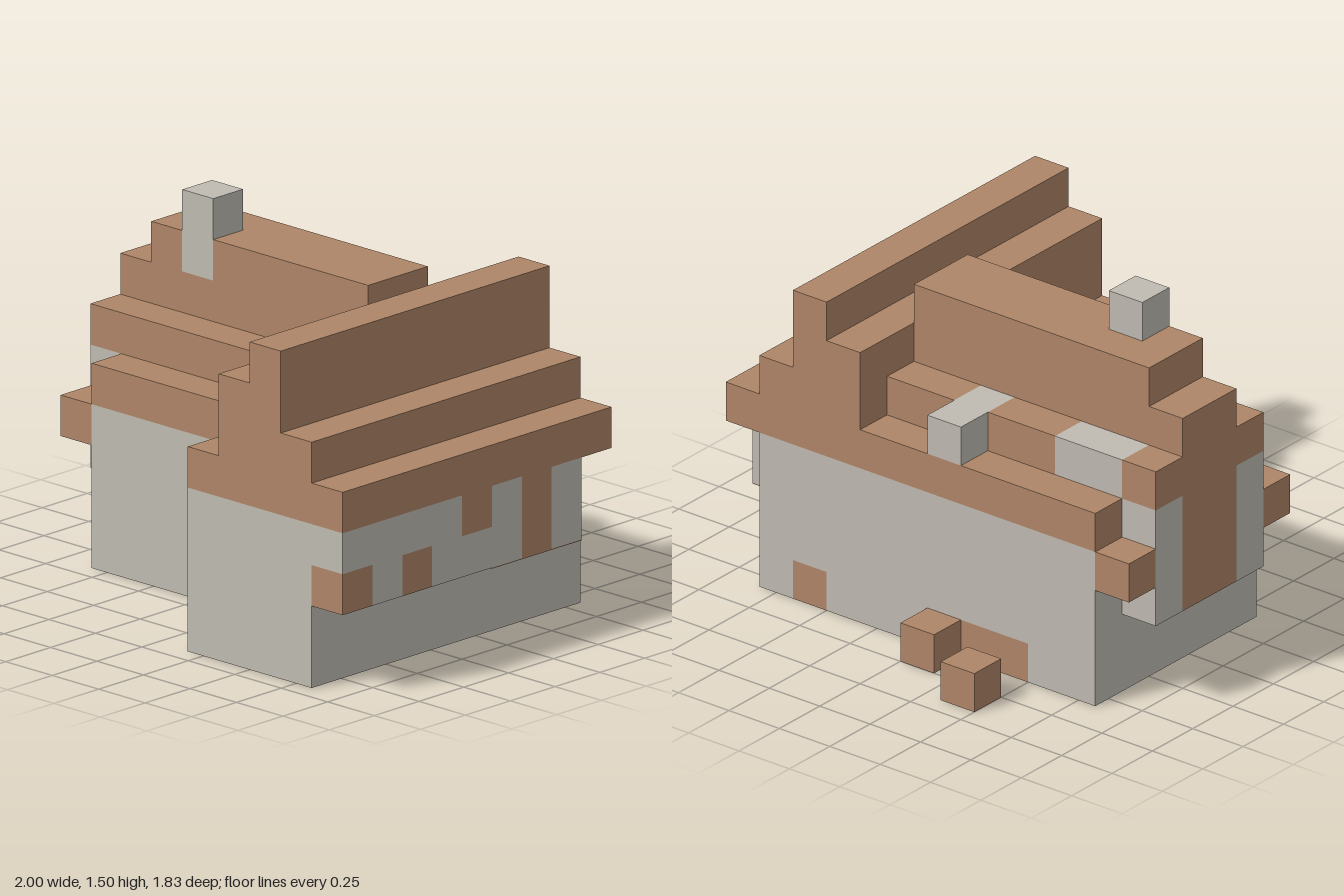
import * as THREE from 'three';

const U = 1 / 6; // edge of one block

// Blocks by grid position; a later part replaces an earlier one where they overlap
function fill(grid, part, x0, x1, y0, y1, z0, z1) {
  for (let x = x0; x < x1; x++)
    for (let y = y0; y < y1; y++)
      for (let z = z0; z < z1; z++) grid.set([x, y, z].join(), { part, cell: [x, y, z] });
}

// Outer shell of one part's blocks; the ground side stays open
function shellGeometry(part, grid) {
  const pos = [], nor = [], idx = [];
  for (const block of grid.values()) {
    if (block.part !== part) continue;
    for (let axis = 0; axis < 3; axis++) {
      for (const sign of [-1, 1]) {
        const next = block.cell.slice();
        next[axis] += sign;
        if (grid.has(next.join()) || next[1] < 0) continue;
        const start = pos.length / 3;
        const normal = [0, 0, 0];
        normal[axis] = sign;
        for (let n = 0; n < 4; n++) {
          // walk round the face, the other way on the negative side
          const turn = sign > 0 ? n : 3 - n;
          const c = block.cell.slice();
          if (sign > 0) c[axis] += 1;
          if (turn === 1 || turn === 2) c[(axis + 1) % 3] += 1;
          if (turn > 1) c[(axis + 2) % 3] += 1;
          pos.push((c[0] - 6) * U, c[1] * U, (c[2] - 5.5) * U);
          nor.push(...normal);
        }
        idx.push(start, start + 1, start + 2, start, start + 2, start + 3);
      }
    }
  }
  const g = new THREE.BufferGeometry();
  g.setAttribute('position', new THREE.Float32BufferAttribute(pos, 3));
  g.setAttribute('normal', new THREE.Float32BufferAttribute(nor, 3));
  g.setIndex(idx);
  return g;
}

export function createModel() {
  const stone = new THREE.MeshStandardMaterial({ color: 0xbfbbb2, side: THREE.DoubleSide });
  stone.name = 'stone';
  const wood = new THREE.MeshStandardMaterial({ color: 0xae8567, side: THREE.DoubleSide });
  wood.name = 'wood';

  const grid = new Map();
  const materials = new Map();
  const add = (part, material, ...range) => {
    materials.set(part, material);
    fill(grid, part, ...range);
  };

  // Walls and the bays that hang out on both sides
  add('mainWalls', stone, 1, 11, 0, 4, 2, 8);
  add('wingWalls', stone, 7, 11, 0, 4, 8, 11);
  add('leftBay', stone, 11, 12, 2, 4, 3, 11);
  add('rightBay', stone, 0, 1, 2, 5, 3, 7);

  // Main roof: steps narrowing towards the ridge
  add('mainRoof', wood, 1, 8, 4, 5, 2, 8);
  add('mainRoof', wood, 0, 8, 5, 6, 3, 7);
  add('mainRoof', wood, 0, 8, 6, 7, 4, 6);
  add('mainRoof', wood, 1, 8, 7, 8, 4, 6);
  for (const z of [2, 7]) add('eaveEnds', wood, 0, 1, 3, 4, z, z + 1);

  // Wing roof: stepped columns running front to back
  [5, 7, 8, 6, 5].forEach((top, n) => add('wingRoof', wood, 7 + n, 8 + n, 4, top, 2, 11));

  // Timber in the walls and bays
  add('rightBayTimber', wood, 0, 1, 2, 5, 4, 6);
  for (const z of [8, 10]) add('leftBayTimber', wood, 11, 12, 2, 3, z, z + 1);
  add('leftBayTimber', wood, 11, 12, 3, 4, 6, 7);
  add('leftBayTimber', wood, 11, 12, 2, 4, 4, 5);
  add('backWallTimber', wood, 9, 10, 0, 1, 2, 3);
  add('backWallTimber', wood, 3, 5, 0, 1, 2, 3);

  // Stones in the back of the roof, and the chimney
  add('roofStones', stone, 1, 3, 5, 6, 3, 4);
  add('roofStones', stone, 5, 6, 5, 6, 2, 4);
  add('chimney', stone, 2, 3, 7, 9, 5, 6);

  // Crates behind the house
  add('crates', wood, 3, 4, 0, 1, 0, 1);
  add('crates', wood, 5, 6, 0, 1, 1, 2);

  const house = new THREE.Group();
  house.name = 'house';
  for (const [part, material] of materials) {
    const mesh = new THREE.Mesh(shellGeometry(part, grid), material);
    mesh.name = part;
    house.add(mesh);
  }

  // Wooden board under the left bay
  const board = new THREE.Mesh(new THREE.BoxGeometry(U, 0.004, 3 * U), wood);
  board.name = 'bayUndersideBoard';
  board.position.set(5.5 * U, 2 * U - 0.002, -U);
  house.add(board);
  return house;
}
